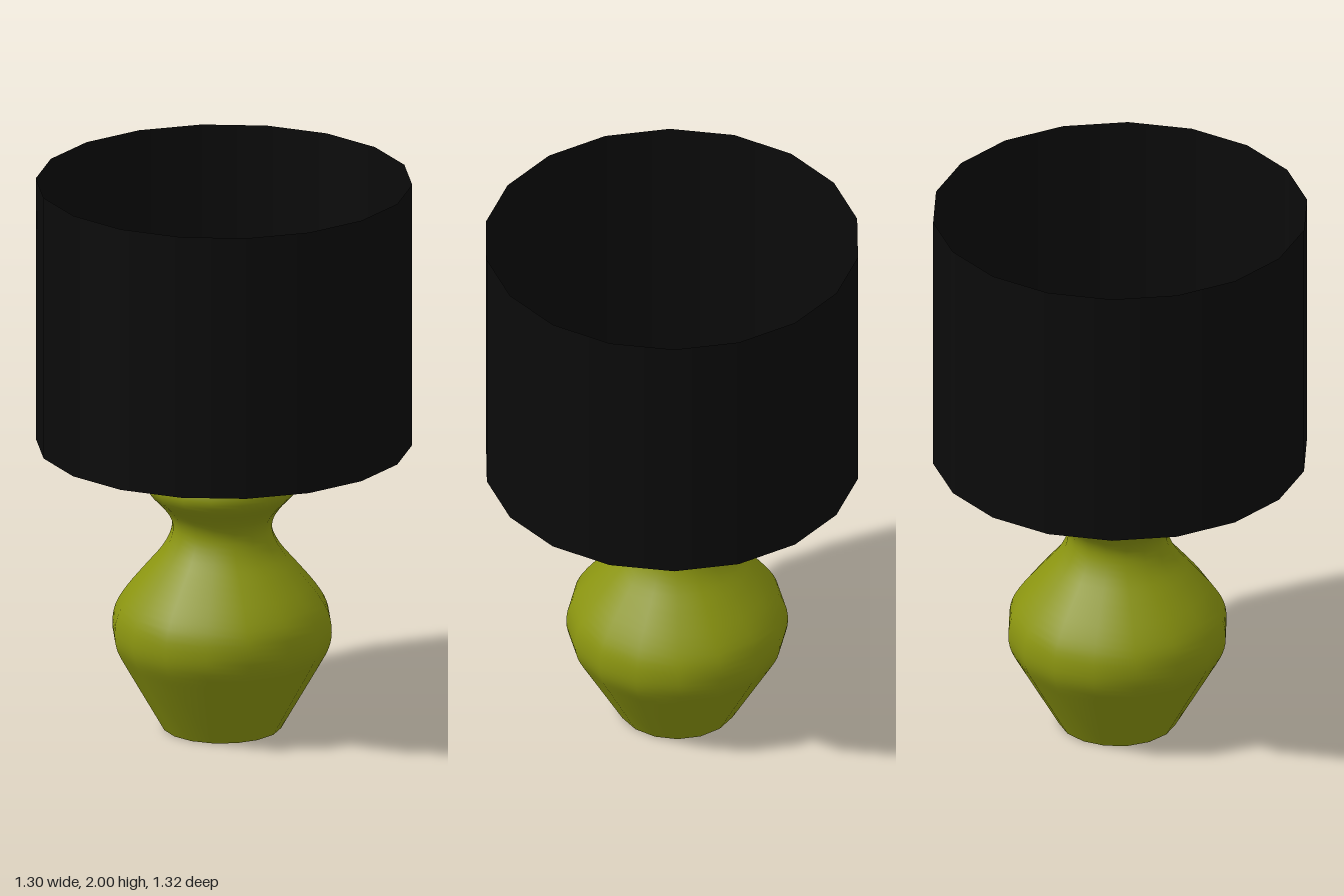
import * as THREE from 'three';

const olive = new THREE.MeshStandardMaterial({ color: 0x8a9410 });
const black = new THREE.MeshStandardMaterial({ color: 0x0b0b0b, side: THREE.DoubleSide });

const toPoints = (pairs) => pairs.map(([r, y]) => new THREE.Vector2(r, y));

function addLathe(parent, name, points, sides, material) {
  const mesh = new THREE.Mesh(new THREE.LatheGeometry(points, sides), material);
  mesh.name = name;
  parent.add(mesh);
  return mesh;
}

export function createModel() {
  const lamp = new THREE.Group();
  lamp.name = 'tableLamp';

  // Turned base, set slightly off the shade's axis
  const base = new THREE.Group();
  base.name = 'base';
  base.position.set(-0.018, 0, -0.005);
  lamp.add(base);

  // Body: straight foot, then a smooth curve through the belly, neck and two rings
  const curve = new THREE.SplineCurve(toPoints([
    [0.345, 0.24], [0.376, 0.3], [0.387, 0.36], [0.376, 0.43], [0.335, 0.5],
    [0.27, 0.58], [0.208, 0.655], [0.178, 0.72], [0.182, 0.77], [0.212, 0.815],
    [0.254, 0.86], [0.268, 0.9], [0.252, 0.945], [0.218, 1.005], [0.218, 1.04],
    [0.25, 1.075], [0.27, 1.11], [0.255, 1.14], [0.21, 1.163], [0.14, 1.17], [0.087, 1.17],
  ]));
  const body = [new THREE.Vector2(0.208, 0), ...curve.getPoints(60)];
  addLathe(base, 'body', body, 16, olive);

  // Flat underside
  addLathe(base, 'underside', toPoints([[0, 0], [0.208, 0]]), 16, olive);

  // Short stub on top of the body
  addLathe(base, 'stubSide', toPoints([[0.087, 1.17], [0.087, 1.19]]), 16, olive);
  addLathe(base, 'stubTop', toPoints([[0.087, 1.19], [0, 1.19]]), 16, olive);

  // Open drum shade
  addLathe(lamp, 'shade', toPoints([[0.658, 1.045], [0.658, 2]]), 18, black);

  return lamp;
}
